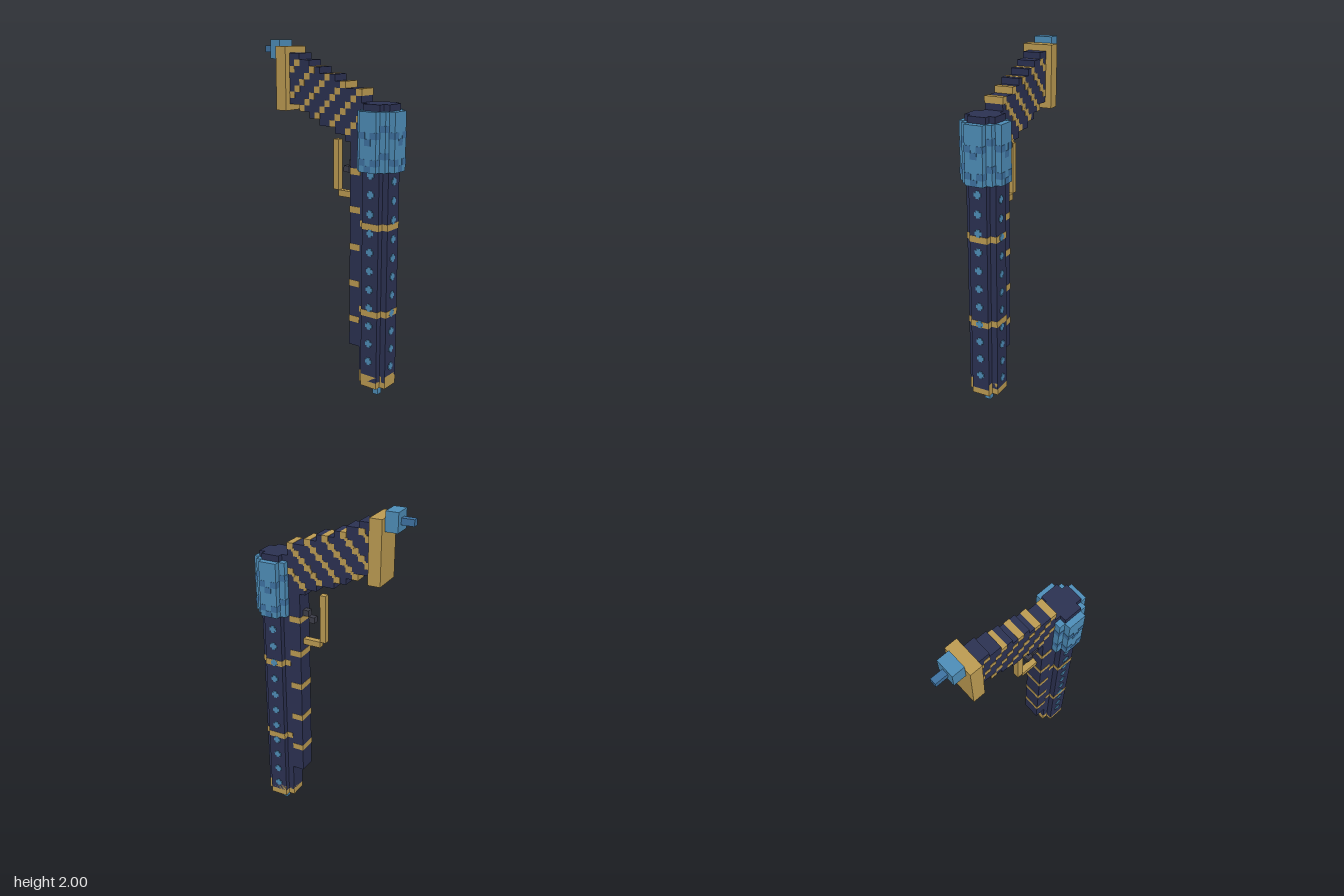
import * as THREE from 'three';
import { mergeGeometries } from 'three/addons/utils/BufferGeometryUtils.js';

const mat = (name, color) => {
  const m = new THREE.MeshStandardMaterial({ color });
  m.name = name;
  return m;
};

// All sizes below are in cells; the whole group is scaled by CELL.
const CELL = 1 / 28;
const AXIS = 9.5; // z of the barrel axis
const LIFT = 0.05; // how far painted cells stand proud

const box = (x0, x1, y0, y1, z0, z1) =>
  new THREE.BoxGeometry(x1 - x0, y1 - y0, z1 - z0)
    .translate((x0 + x1) / 2, (y0 + y1) / 2, (z0 + z1) / 2);

// box centred on x
const slab = (w, y0, y1, z0, z1) => box(-w / 2, w / 2, y0, y1, z0, z1);

// one painted cell, centred on x and z
const cell = (x, y, z) =>
  box(x - 0.5 - LIFT, x + 0.5 + LIFT, y, y + 1, z - 0.5 - LIFT, z + 0.5 + LIFT);

// square column with its four corner cells left out
const cross = (y0, y1, e = 0) => [
  slab(5 + e, y0, y1, AXIS - 1.5 - e / 2, AXIS + 1.5 + e / 2),
  slab(3 + e, y0, y1, AXIS - 2.5 - e / 2, AXIS + 2.5 + e / 2),
];

export function createModel() {
  const navy = mat('navy', 0x2c3253);
  const gold = mat('gold', 0xbe9d53);
  const blue = mat('blue', 0x4f8fba);
  const deepBlue = mat('deep blue', 0x3f74a4);
  const grey = mat('dark grey', 0x3e3f4b);

  const group = new THREE.Group();
  const add = (name, material, parts) => {
    const mesh = new THREE.Mesh(mergeGeometries(parts), material);
    mesh.name = name;
    group.add(mesh);
  };

  // barrel with two rings
  add('barrel', navy, cross(3, 47));
  add('barrelRings', gold, [...cross(14, 15, 2 * LIFT), ...cross(28, 29, 2 * LIFT)]);

  // hollow muzzle collar and its pin
  add('muzzleCollar', gold, [
    box(-2.5, -1.5, 2, 4, AXIS - 1.5, AXIS + 1.5),
    box(1.5, 2.5, 2, 4, AXIS - 1.5, AXIS + 1.5),
    slab(3, 2, 4, AXIS - 2.5, AXIS - 1.5),
    slab(3, 2, 4, AXIS + 1.5, AXIS + 2.5),
  ]);
  add('muzzlePin', blue, [slab(1, 0, 3.5, AXIS - 0.5, AXIS + 0.5)]);

  // plus-shaped studs winding round the barrel
  const studs = [];
  for (const [angle, first] of [[0, 5], [Math.PI / 2, 4], [-Math.PI / 2, 6]]) {
    for (let y = first; y < 37; y += 3) {
      for (const [w, h] of [[1.2, 0.6], [0.6, 1.2]]) {
        studs.push(new THREE.BoxGeometry(w, h, 0.2)
          .translate(0, y + 0.5, 2.5)
          .rotateY(angle)
          .translate(0, 0, AXIS));
      }
    }
  }
  add('barrelStuds', blue, studs);

  // sleeve with chevrons on the front and both sides
  add('sleeve', blue, [
    slab(7, 37, 46, AXIS - 1.5, AXIS + 1.5),
    slab(5, 37, 46, AXIS - 2.5, AXIS + 2.5),
    slab(3, 37, 46, AXIS - 2.5, AXIS + 3.5),
  ]);
  const chevrons = [];
  for (const base of [37, 41]) {
    for (const a of [-1, 0, 1]) {
      const y = base + Math.abs(a);
      chevrons.push(cell(a, y, AXIS + 3), cell(3, y, AXIS + a), cell(-3, y, AXIS + a));
    }
    for (const sx of [-2, 2]) {
      for (const sz of [-2, 2]) chevrons.push(cell(sx, base + 2, AXIS + sz));
    }
  }
  add('sleeveChevrons', deepBlue, chevrons);

  // rail behind the barrel with wrapped bands
  add('rail', navy, [slab(3, 8, 42, 5, 7)]);
  const bands = [];
  for (let y = 12; y <= 36; y += 6) bands.push(slab(3 + 2 * LIFT, y, y + 1, 5 - LIFT, 6.9));
  add('railBands', gold, bands);

  // stepped grip, each step one cell higher
  const edges = [7, 4, 2, -1, -3, -5, -7];
  const steps = [];
  const stripes = [];
  for (let i = 0; i < 6; i++) {
    const bottom = 41 + i;
    steps.push(slab(3, bottom, bottom + 8, edges[i + 1], edges[i]));
    // diagonal stripe cells running down towards the back
    for (let z = edges[i] - 1; z >= edges[i + 1]; z--) {
      for (let y = bottom; y < bottom + 8; y++) {
        if ((6 - z + y) % 4 !== 0) continue;
        const top = y === bottom + 7 ? LIFT : 0;
        stripes.push(slab(3 + 2 * LIFT, y, y + 1 + top, z, z + 1 + (z === edges[i] - 1 ? LIFT : 0)));
        // link to the next cell on the left face
        if (y > bottom && z > -7) {
          stripes.push(box(1.4, 1.5 + LIFT * 1.2, y - 0.25, y + 0.25, z - 0.25, z + 0.25));
        }
      }
    }
  }
  add('grip', navy, steps);
  add('gripStripes', gold, stripes);

  // butt plate, end block and pin
  add('buttPlate', gold, [slab(5, 45, 55, -9, -7)]);
  add('endBlock', blue, [slab(3, 53, 56, -11, -9)]);
  add('endPin', deepBlue, [slab(1, 54, 55, -13, -11)]);

  // trigger and its guard
  add('triggerGuard', gold, [slab(1, 32, 33, 2, 5), slab(1, 33, 41, 1, 2)]);
  add('trigger', grey, [slab(1, 37, 38, 4, 5), slab(1, 36, 37, 3, 4)]);

  group.scale.setScalar(CELL);
  return group;
}
